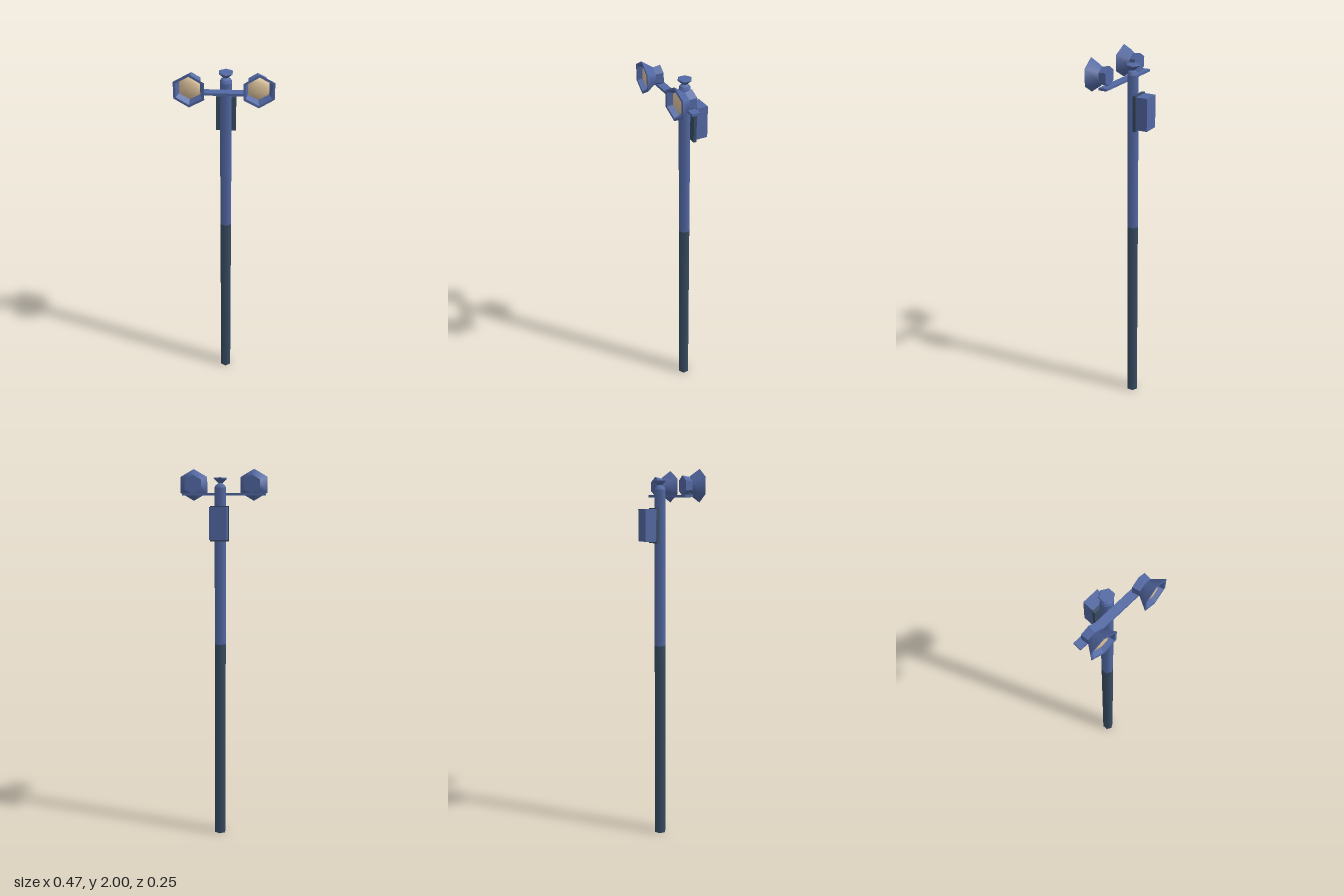
import * as THREE from 'three';

export function createModel() {
  const model = new THREE.Group();
  model.name = 'floodlightPole';

  const blue = new THREE.MeshStandardMaterial({ name: 'bluePaint', color: 0x5369a4 });
  const dark = new THREE.MeshStandardMaterial({ name: 'darkPaint', color: 0x384c62 });
  const cream = new THREE.MeshStandardMaterial({ name: 'creamLens', color: 0xdcc29c });

  const add = (parent, name, geometry, material, x = 0, y = 0, z = 0) => {
    const mesh = new THREE.Mesh(geometry, material);
    mesh.name = name;
    mesh.position.set(x, y, z);
    parent.add(mesh);
    return mesh;
  };
  const flat = (geometry) => {
    const g = geometry.toNonIndexed();
    g.computeVertexNormals();
    return g;
  };
  const box = (parent, name, material, x0, x1, y0, y1, z0, z1) =>
    add(parent, name, new THREE.BoxGeometry(x1 - x0, y1 - y0, z1 - z0), material,
      (x0 + x1) / 2, (y0 + y1) / 2, (z0 + z1) / 2);

  // Six-sided section of the pole between two heights
  const poleZ = -0.025;
  const section = (name, material, r0, r1, y0, y1, open = false) =>
    add(model, name, new THREE.CylinderGeometry(r1, r0, y1 - y0, 6, 1, open), material,
      0.001, (y0 + y1) / 2, poleZ);

  section('lowerPole', dark, 0.032, 0.032, 0, 1.08);
  section('upperPole', blue, 0.032, 0.032, 1.08, 1.9);
  section('poleShoulder', blue, 0.032, 0.025, 1.9, 1.914);
  section('finialStem', blue, 0.022, 0.011, 1.914, 1.922);
  section('finialCup', blue, 0.011, 0.0375, 1.922, 1.946);
  section('finialLid', blue, 0.0375, 0.034, 1.946, 1.951);

  // Crossbar, and control box on its mounting plate
  box(model, 'crossbar', blue, -0.23, 0.207, 1.861, 1.873, 0.003, 0.046);
  box(model, 'mountingPlate', dark, -0.048, 0.05, 1.627, 1.808, -0.066, -0.05);
  box(model, 'controlBox', blue, -0.043, 0.046, 1.637, 1.803, -0.128, -0.066);

  // Six-sided frustum along z, for the lamp parts
  const frustum = (r0, r1, z0, z1, open) => new THREE.CylinderGeometry(r1, r0, z1 - z0, 6, 1, open)
    .rotateX(Math.PI / 2).translate(0, 0, (z0 + z1) / 2);

  function createLamp(name, x, z, yaw) {
    const lamp = new THREE.Group();
    lamp.name = name;
    lamp.position.set(x, 1.918, z);
    lamp.rotation.y = yaw;

    add(lamp, 'lampHub', flat(frustum(0.05, 0.043, 0, 0.038, false)), blue);
    add(lamp, 'lampShade', frustum(0.044, 0.083, 0.038, 0.095, true), blue);

    // Flat rim; the start angle puts a corner at the top
    add(lamp, 'lampRim', new THREE.RingGeometry(0.07, 0.083, 6, 1, Math.PI / 2), blue, 0, 0, 0.095);

    // Inside wall, turned to face inwards
    const wall = frustum(0.056, 0.07, 0.06, 0.095, true);
    const index = wall.index.array;
    for (let i = 0; i < index.length; i += 3) {
      [index[i], index[i + 1]] = [index[i + 1], index[i]];
    }
    add(lamp, 'lampInnerWall', flat(wall), blue);

    // Shallow domed lens
    const dome = new THREE.SphereGeometry(0.057, 6, 4, Math.PI / 2, Math.PI * 2, 0, Math.PI / 2)
      .scale(1, 0.4, 1).rotateX(Math.PI / 2);
    add(lamp, 'lampLens', dome, cream, 0, 0, 0.062);
    model.add(lamp);
  }
  createLamp('rightLamp', -0.157, 0.0245, -0.06);
  createLamp('leftLamp', 0.151, 0.0185, 0.098);

  return model;
}
